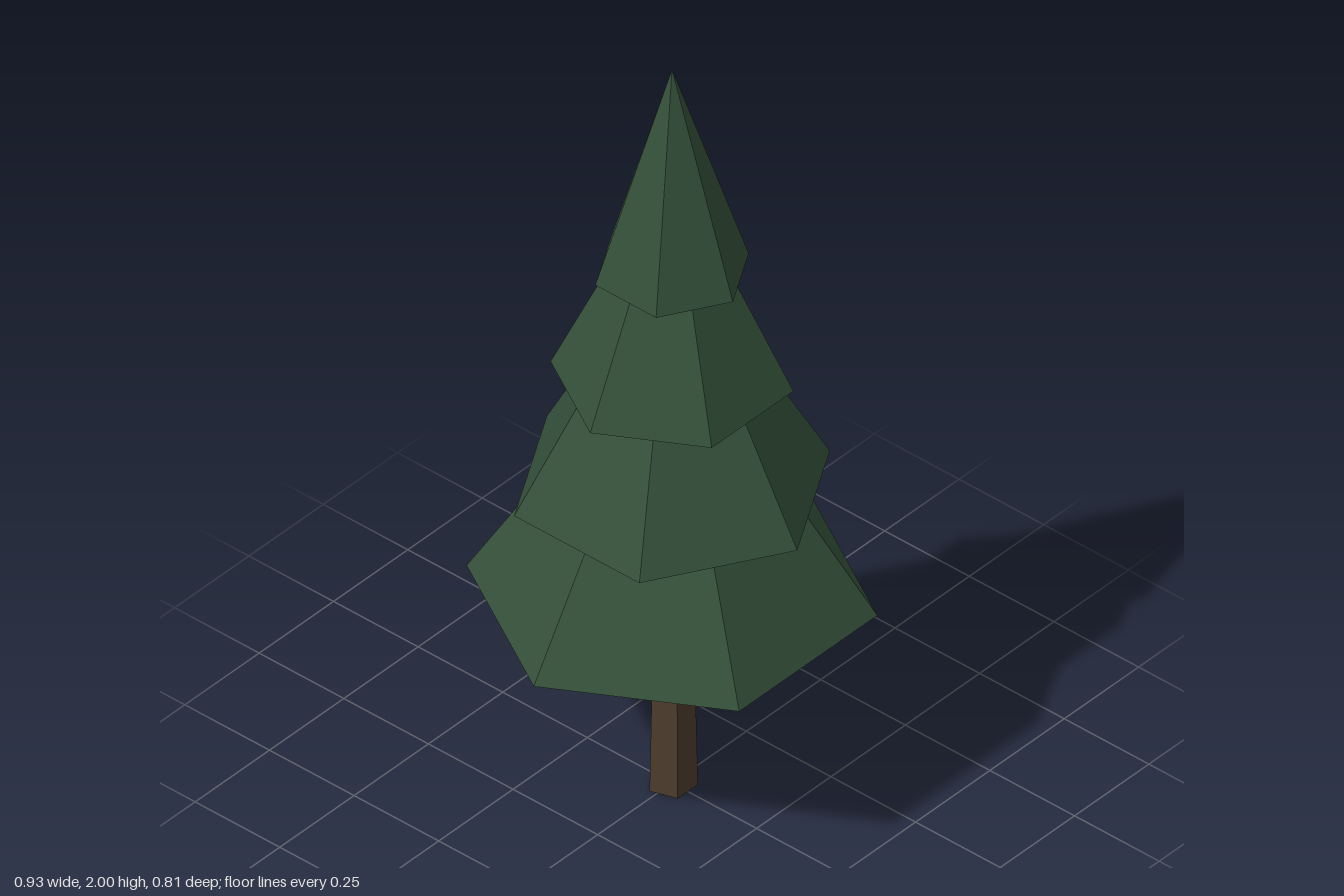
import * as THREE from 'three';

export function createModel() {
  const tree = new THREE.Group();
  tree.name = 'pineTree';
  const needles = new THREE.MeshStandardMaterial({ color: 0x34503a, flatShading: true });
  const bark = new THREE.MeshStandardMaterial({ color: 0x4d3d2d, flatShading: true });

  // Tapered prism standing between two heights; turn sets the first corner from +z
  function taper(name, y0, y1, r0, r1, sides, turn, material) {
    const geometry = new THREE.CylinderGeometry(r1, r0, y1 - y0, sides, 1, false, turn);
    const mesh = new THREE.Mesh(geometry, material);
    mesh.position.y = (y0 + y1) / 2;
    mesh.name = name;
    tree.add(mesh);
  }

  // Five-sided trunk with one corner to the back
  taper('trunk', 0, 0.56, 0.058, 0.046, 5, Math.PI, bark);

  // Six-sided branch tiers, alternately turned: bottom, top, bottom radius, top radius
  const tiers = [
    [0.54, 0.84, 0.465, 0.276],
    [0.84, 1.14, 0.37, 0.205],
    [1.14, 1.44, 0.275, 0.136],
    [1.44, 2.0, 0.18, 0],
  ];
  tiers.forEach(([y0, y1, r0, r1], i) => {
    taper(`branchTier${i + 1}`, y0, y1, r0, r1, 6, i % 2 ? 0 : Math.PI / 6, needles);
  });

  return tree;
}
